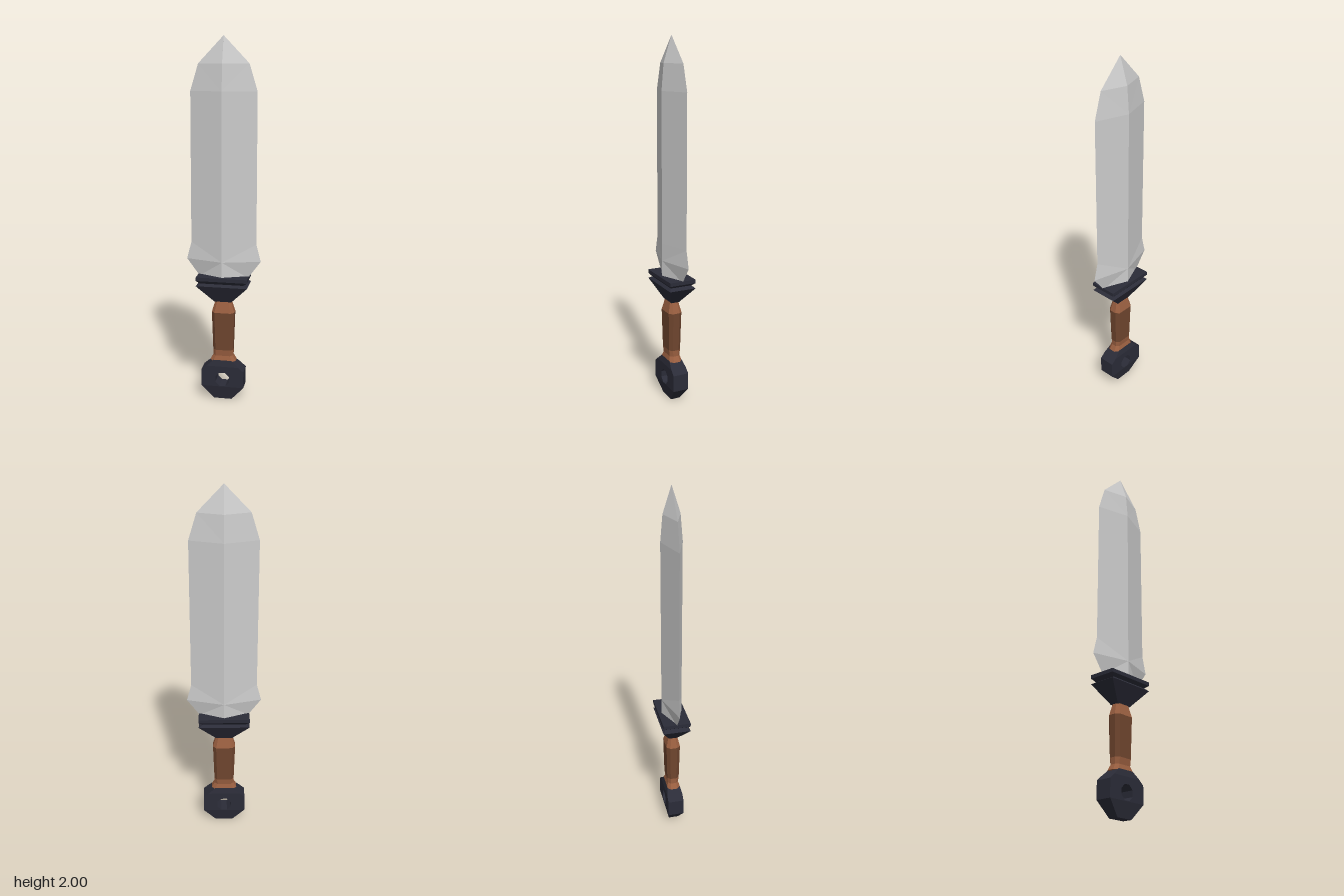
import * as THREE from 'three';

// Closed solid lofted through rings; each ring is { y, pts: [[x, z], ...] },
// ordered counter-clockwise seen from above.
// flip(i, j) picks the other diagonal of a quad.
function loft(rings, flip = () => false) {
  const pos = [];
  const n = rings[0].pts.length;
  const at = (i, j) => {
    const [x, z] = rings[i].pts[j % n];
    return [x, rings[i].y, z];
  };
  const tri = (...corners) => corners.forEach((p) => pos.push(...p));
  for (let i = 0; i < rings.length - 1; i++) {
    for (let j = 0; j < n; j++) {
      const a = at(i, j), b = at(i, j + 1), c = at(i + 1, j + 1), d = at(i + 1, j);
      if (flip(i, j)) { tri(a, b, d); tri(b, c, d); }
      else { tri(a, b, c); tri(a, c, d); }
    }
  }
  const top = rings.length - 1;
  for (let j = 1; j < n - 1; j++) {
    tri(at(0, 0), at(0, j + 1), at(0, j));
    tri(at(top, 0), at(top, j), at(top, j + 1));
  }
  const g = new THREE.BufferGeometry();
  g.setAttribute('position', new THREE.Float32BufferAttribute(pos, 3));
  g.computeVertexNormals();
  return g;
}

// Cross-sections from [y, half width, half depth]
const diamond = ([y, x, z]) => ({ y, pts: [[x, 0], [0, -z], [-x, 0], [0, z]] });
const rect = ([y, x, z]) => ({ y, pts: [[x, z], [x, -z], [-x, -z], [-x, z]] });
const chamfered = ([y, x, z]) => {
  const u = x * 0.72, v = z * 0.5;
  return { y, pts: [[x, v], [x, -v], [u, -z], [-u, -z], [-x, -v], [-x, v], [-u, z], [u, z]] };
};

export function createModel() {
  const group = new THREE.Group();
  const mat = (color) => new THREE.MeshStandardMaterial({ color, flatShading: true });
  const steel = mat(0xcccccc);
  const iron = mat(0x2b2c38);
  const leather = mat(0x70462f);
  const band = mat(0x9a5f40);

  const add = (name, geometry, material, parent = group) => {
    const mesh = new THREE.Mesh(geometry, material);
    mesh.name = name;
    parent.add(mesh);
  };

  // Blade: diamond section, flared just above the guard, facets fanning from the ridge
  add('blade', loft([
    [0.715, 0.135, 0.057], [0.81, 0.205, 0.057], [0.905, 0.18, 0.057],
    [1.72, 0.178, 0.057], [1.86, 0.135, 0.045], [2, 0.0005, 0.0005],
  ].map(diamond), (i, j) => (j % 2 === 0) === (i > 0)), steel);

  // Guard: plate, groove and tapering collar
  add('guard', loft([
    [0.575, 0.046, 0.024], [0.675, 0.141, 0.076], [0.688, 0.118, 0.062],
    [0.705, 0.141, 0.076], [0.725, 0.141, 0.076],
  ].map(rect)), iron);

  // Handle: grip between two lighter bands
  add('grip', loft([[0.295, 0.056, 0.034], [0.515, 0.063, 0.039]].map(chamfered)), leather);
  add('upperBand', loft([[0.515, 0.063, 0.039], [0.58, 0.044, 0.024]].map(chamfered)), band);
  add('lowerBand', loft([
    [0.23, 0.072, 0.038], [0.26, 0.055, 0.03], [0.295, 0.056, 0.034],
  ].map(chamfered)), band);

  // Pommel: octagonal ring with a hole, thinner towards top and bottom
  const pommel = new THREE.Group();
  pommel.name = 'pommel';
  group.add(pommel);
  const depth = 0.045;
  const shape = new THREE.Shape(
    [[-0.12, 0.08], [0.12, 0.08], [0.12, 0.175], [0.091, 0.2], [-0.091, 0.2], [-0.12, 0.175]]
      .map(([x, y]) => new THREE.Vector2(x, y)));
  const hole = [];
  for (let k = 0; k < 8; k++) {
    const a = -(k + 0.5) * Math.PI / 4;
    hole.push(new THREE.Vector2(0.043 * Math.cos(a), 0.123 + 0.043 * Math.sin(a)));
  }
  shape.holes.push(new THREE.Path(hole));
  const ring = new THREE.ExtrudeGeometry(shape, { depth: depth * 2, bevelEnabled: false });
  ring.translate(0, 0, -depth);
  add('pommelRing', ring, iron, pommel);
  add('pommelFoot', loft([[0, 0.05, 0.027], [0.08, 0.12, depth]].map(rect)), iron, pommel);
  add('pommelShoulder', loft([[0.2, 0.091, depth], [0.235, 0.05, 0.037]].map(rect)), iron, pommel);

  return group;
}
